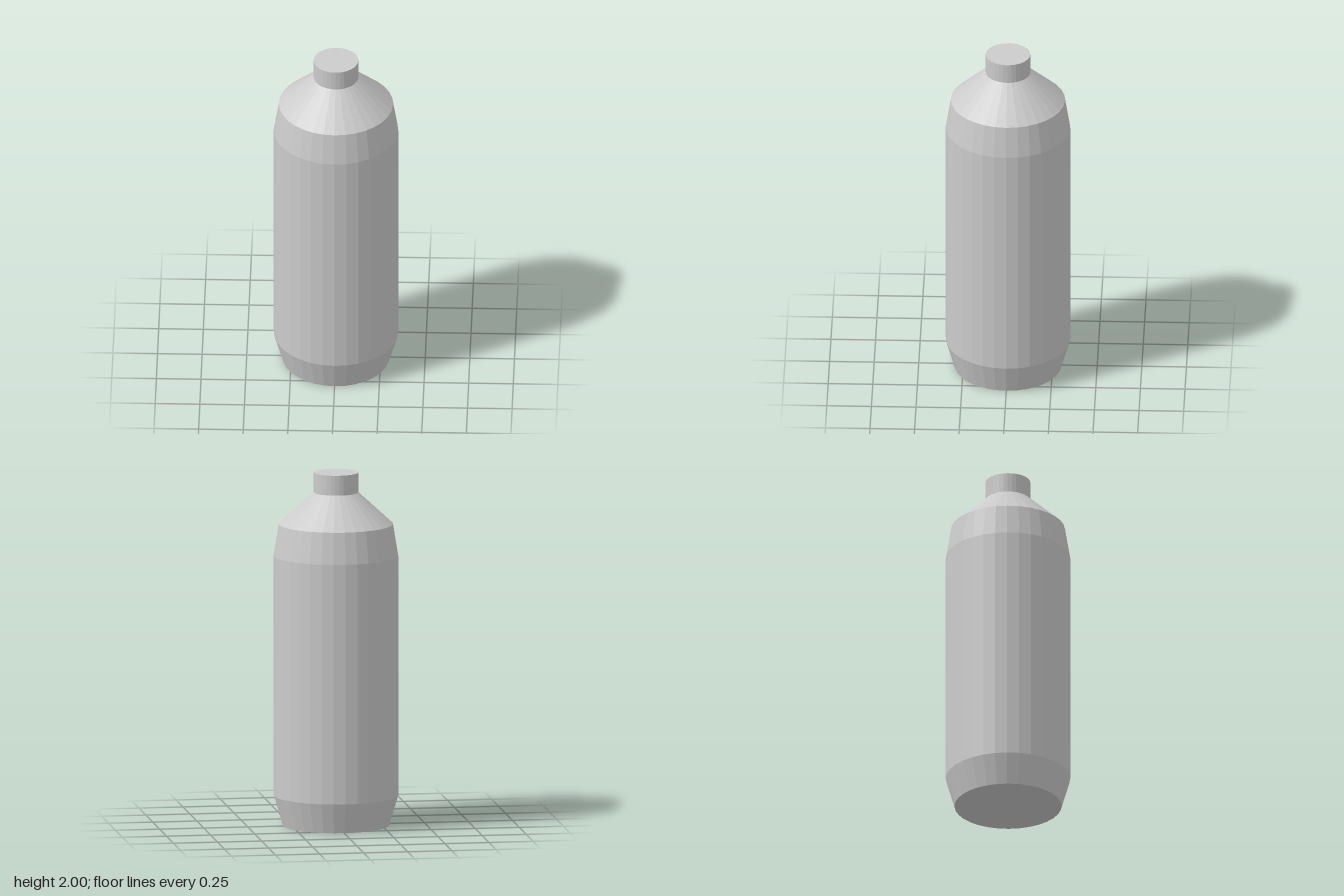
import * as THREE from 'three';

const SIDES = 32;

export function createModel() {
  const bottle = new THREE.Group();
  bottle.name = 'bottle';
  const material = new THREE.MeshStandardMaterial({ color: 0xcccccc, flatShading: true });

  // One faceted ring of the bottle between two heights
  function addRing(name, y0, r0, y1, r1) {
    const geometry = new THREE.CylinderGeometry(r1, r0, y1 - y0, SIDES, 1, true);
    const mesh = new THREE.Mesh(geometry, material);
    mesh.position.y = (y0 + y1) / 2;
    mesh.name = name;
    bottle.add(mesh);
  }

  // Flat disc closing an end, facing up or down
  function addDisc(name, y, r, facing) {
    const geometry = new THREE.CircleGeometry(r, SIDES).rotateX(-facing * Math.PI / 2);
    const mesh = new THREE.Mesh(geometry, material);
    mesh.position.y = y;
    mesh.name = name;
    bottle.add(mesh);
  }

  addDisc('bottom', 0, 0.3, -1);
  addRing('taperedBase', 0, 0.3, 0.17, 0.349);
  addRing('body', 0.17, 0.349, 1.53, 0.349);
  addRing('upperBody', 1.53, 0.349, 1.708, 0.32);
  addRing('shoulder', 1.708, 0.32, 1.887, 0.125);
  addRing('neck', 1.887, 0.125, 2, 0.125);
  addDisc('neckTop', 2, 0.125, 1);

  return bottle;
}
